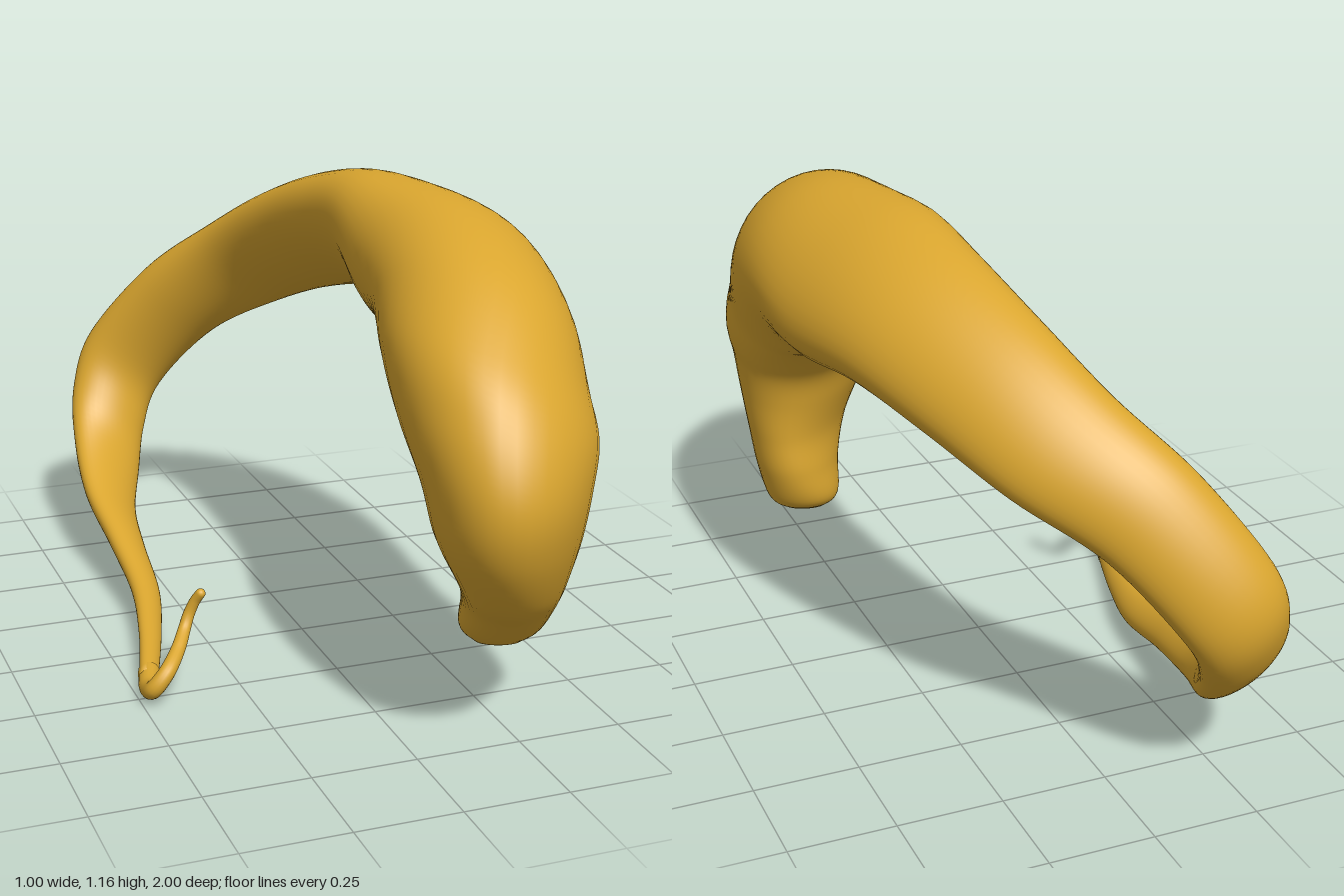
import * as THREE from 'three';

// Oval sections: [centreX, centreY, centreZ, radialX, radialY, radialZ, halfWidth]
const bell = [
  [0.285, 0.163, 0.55, -0.01, 0, 0.03, 0.055],
  [0.287, 0.205, 0.553, -0.03, 0, 0.092, 0.095],
  [0.285, 0.295, 0.60, -0.07, -0.005, 0.155, 0.11],
  [0.262, 0.39, 0.66, -0.11, -0.01, 0.21, 0.128],
  [0.23, 0.51, 0.70, -0.14, 0.01, 0.26, 0.165],
  [0.22, 0.62, 0.70, -0.145, 0.04, 0.285, 0.19],
  [0.22, 0.725, 0.645, -0.13, 0.085, 0.285, 0.225],
  [0.23, 0.82, 0.55, -0.09, 0.115, 0.275, 0.24],
];
const arch = [
  [0.265, 0.905, 0.40, 0, 0.155, 0.22, 0.235],
  [0.285, 0.96, 0.205, 0.08, 0.155, 0.125, 0.225],
  [0.285, 0.985, -0.02, 0.09, 0.113, 0.03, 0.228],
  [0.25, 0.97, -0.25, 0.07, 0.095, -0.03, 0.20],
  [0.18, 0.90, -0.485, 0.054, 0.068, -0.05, 0.175],
  [0.085, 0.80, -0.68, 0.039, 0.049, -0.053, 0.155],
  [-0.06, 0.675, -0.825, 0.032, 0.04, -0.061, 0.135],
  [-0.20, 0.49, -0.92, 0, 0.005, -0.08, 0.128],
];
const arm = [
  [-0.262, 0.36, -0.885, -0.01, -0.02, -0.07, 0.12],
  [-0.30, 0.25, -0.775, -0.025, -0.031, -0.035, 0.108],
  [-0.335, 0.178, -0.61, -0.024, -0.031, -0.014, 0.081],
  [-0.345, 0.128, -0.41, -0.021, -0.027, -0.005, 0.056],
  [-0.355, 0.08, -0.20, -0.018, -0.023, -0.003, 0.042],
  [-0.40, 0.053, 0.0, -0.014, -0.018, -0.002, 0.032],
  [-0.46, 0.031, 0.2, -0.013, -0.016, 0, 0.025],
];

// Width direction turns from the upright lobe to the leaning arch
const lobeNormal = new THREE.Vector3(0.9, 0, 0.43);
const archNormal = new THREE.Vector3(0.77, -0.64, 0);

const spline = (points) => new THREE.CatmullRomCurve3(points, false, 'catmullrom', 0.5);

// Smooth skin through oval sections, closed at both ends
function loft(rows, steps, sides) {
  const centre = spline(rows.map((r) => new THREE.Vector3(r[0], r[1], r[2])));
  const radial = spline(rows.map((r) => new THREE.Vector3(r[3], r[4], r[5])));
  const width = spline(rows.map((r) => new THREE.Vector3(r[6], 0, 0)));
  const positions = [], index = [];
  for (let i = 0; i <= steps; i++) {
    const u = i / steps;
    const c = centre.getPoint(u), out = radial.getPoint(u);
    const turn = THREE.MathUtils.smoothstep(u * (rows.length - 1), 4, 10.5);
    const side = lobeNormal.clone().lerp(archNormal, turn)
      .projectOnPlane(out.clone().normalize())
      .setLength(width.getPoint(u).x);
    for (let j = 0; j < sides; j++) {
      const a = (j / sides) * Math.PI * 2;
      const p = c.clone().addScaledVector(out, Math.cos(a)).addScaledVector(side, Math.sin(a));
      positions.push(p.x, p.y, p.z);
    }
  }
  for (let i = 0; i < steps; i++) {
    for (let j = 0; j < sides; j++) {
      const k = (j + 1) % sides;
      const a = i * sides + j, b = i * sides + k;
      index.push(a, b, a + sides, b, b + sides, a + sides);
    }
  }
  const start = positions.length / 3, end = start + 1, last = steps * sides;
  positions.push(...centre.getPoint(0).toArray(), ...centre.getPoint(1).toArray());
  for (let j = 0; j < sides; j++) {
    const k = (j + 1) % sides;
    index.push(start, k, j, end, last + j, last + k);
  }
  const geometry = new THREE.BufferGeometry();
  geometry.setAttribute('position', new THREE.Float32BufferAttribute(positions, 3));
  geometry.setIndex(index);
  geometry.computeVertexNormals();
  return geometry;
}

// Round wire narrowing evenly along its path
function taperedTube(curve, r0, r1, steps, sides) {
  const geometry = new THREE.TubeGeometry(curve, steps, r0, sides);
  const pos = geometry.attributes.position;
  const p = new THREE.Vector3();
  for (let i = 0; i < pos.count; i++) {
    const u = Math.floor(i / (sides + 1)) / steps;
    const c = curve.getPointAt(u);
    p.fromBufferAttribute(pos, i).sub(c).multiplyScalar(1 + (r1 / r0 - 1) * u).add(c);
    pos.setXYZ(i, p.x, p.y, p.z);
  }
  return geometry;
}

export function createModel() {
  const group = new THREE.Group();
  const gold = new THREE.MeshStandardMaterial({ color: 0xdaa62f });
  gold.name = 'gold';
  const add = (name, geometry) => {
    const mesh = new THREE.Mesh(geometry, gold);
    mesh.name = name;
    group.add(mesh);
    return mesh;
  };

  // Broad lobe sweeping over the arch and down into the thin arm
  add('curvedBody', loft([...bell, ...arch, ...arm], 176, 40));

  // Small bent hook at the end of the arm
  const path = new THREE.CatmullRomCurve3([
    [-0.452, 0.032, 0.17], [-0.474, 0.028, 0.25], [-0.475, 0.048, 0.298],
    [-0.445, 0.083, 0.298], [-0.40, 0.115, 0.245], [-0.37, 0.145, 0.20],
    [-0.355, 0.175, 0.188], [-0.34, 0.21, 0.193], [-0.33, 0.23, 0.203],
  ].map((p) => new THREE.Vector3(...p)));
  add('hook', taperedTube(path, 0.026, 0.012, 64, 16));
  add('hookTip', new THREE.SphereGeometry(0.012, 16, 12)).position.copy(path.getPointAt(1));

  return group;
}
